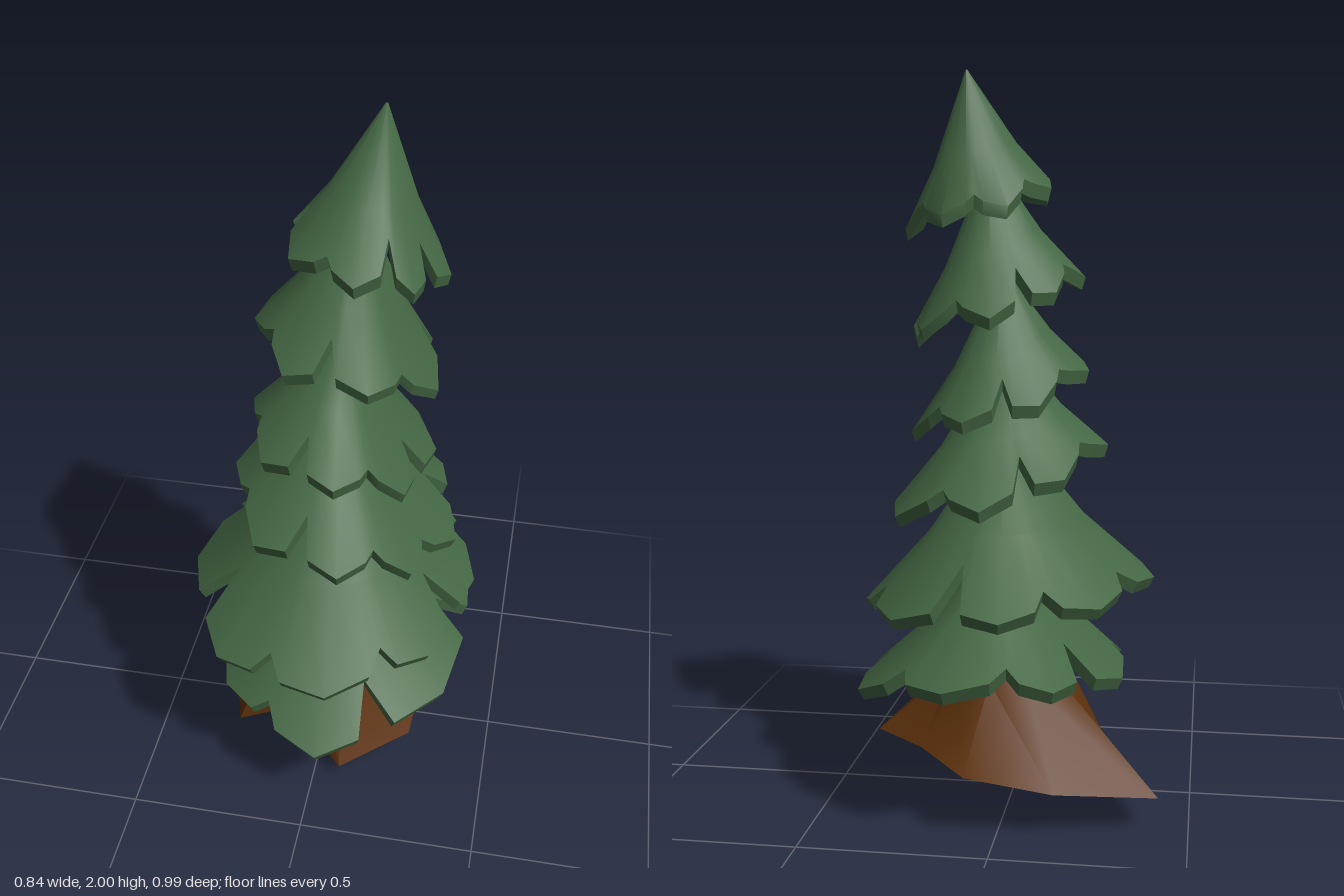
import * as THREE from 'three';
import { toCreasedNormals } from 'three/addons/utils/BufferGeometryUtils.js';

const needleGreen = new THREE.MeshStandardMaterial({ color: 0x446744 });
needleGreen.name = 'needleGreen';
const barkBrown = new THREE.MeshStandardMaterial({ color: 0x5e320c });
barkBrown.name = 'barkBrown';

// Joins closed rings of points, listed from the top down, into a skin
function loft(rings, crease) {
  const n = rings[0].length;
  const index = [];
  for (let r = 0; r < rings.length - 1; r++) {
    for (let i = 0; i < n; i++) {
      const j = (i + 1) % n;
      const a = r * n + i, b = r * n + j, c = a + n, d = b + n;
      index.push(a, b, c, c, b, d);
    }
  }
  const geometry = new THREE.BufferGeometry();
  geometry.setAttribute('position', new THREE.Float32BufferAttribute(rings.flat(2), 3));
  geometry.setIndex(index);
  return toCreasedNormals(geometry, crease);
}

function part(name, geometry, material) {
  const mesh = new THREE.Mesh(geometry, material);
  mesh.name = name;
  return mesh;
}

// Rim of pointed lobes: [angle in degrees, share of full radius]
function lobedRim(deep, shallow, shoulder) {
  const notches = [...deep.map((a) => [a, 0.7]), ...shallow.map((a) => [a, 0.87])]
    .sort((p, q) => p[0] - q[0]);
  const rim = [];
  notches.forEach(([angle, share], i) => {
    const next = i + 1 < notches.length ? notches[i + 1][0] : notches[0][0] + 360;
    const span = next - angle;
    rim.push([angle, share], [angle + span * 0.14, shoulder],
      [angle + span * 0.5, 1.03], [angle + span * 0.86, shoulder]);
  });
  return rim;
}

// One skirt of branches; y holds the rim heights at left (-x), right (+x), front and back
function branchTier({ centre: [cx, cz], radius: [rx, rz], y, apex, deep, shallow, shoulder }) {
  const [yLow, yHigh, yFront, yBack] = y;
  const rim = lobedRim(deep, shallow, shoulder);
  const at = (angle, t, drop) => {
    const c = Math.cos(angle * Math.PI / 180), s = Math.sin(angle * Math.PI / 180);
    const skew = 1 - 0.1 * s * c; // longer along one diagonal
    const edgeY = c * c * (c < 0 ? yLow : yHigh) + s * s * (s < 0 ? yBack : yFront);
    const sag = 0.08 * (apex[1] - edgeY) * Math.sin(Math.PI * Math.min(t, 1));
    return [
      apex[0] + (cx + rx * c * skew - apex[0]) * t,
      apex[1] + (edgeY - apex[1]) * t - sag - drop,
      apex[2] + (cz + rz * s * skew - apex[2]) * t,
    ];
  };
  const ring = (share, drop) => rim.map(([a, r]) => at(a, share(r), drop));
  return loft([
    ring(() => 0.012, 0),
    ring(() => 0.55, 0),
    ring((r) => r, 0),
    ring((r) => r - 0.04, 0.047),
    ring(() => 0.5, 0.055),
    ring(() => 0.3, 0.06),
  ], 0.55);
}

const tiers = [
  { centre: [0.05, -0.02], radius: [0.365, 0.465], y: [0.37, 0.34, 0.27, 0.44], shoulder: 0.97,
    apex: [0.02, 0.76, 0], deep: [-8, 65, 215], shallow: [120, 165, 255, 305] },
  { centre: [0.015, 0.02], radius: [0.39, 0.465], y: [0.62, 0.56, 0.55, 0.61], shoulder: 0.98,
    apex: [0.03, 1.06, 0.02], deep: [14, 148, 285], shallow: [56, 108, 200, 245, 330] },
  { centre: [0.055, 0.045], radius: [0.3, 0.37], y: [0.99, 0.8, 0.92, 0.87], shoulder: 0.94,
    apex: [0.03, 1.28, 0.04], deep: [-20, 105, 245], shallow: [25, 62, 150, 200, 292] },
  { centre: [0.045, 0.07], radius: [0.24, 0.29], y: [1.2, 1.03, 1.16, 1.09], shoulder: 0.94,
    apex: [0.04, 1.48, 0.04], deep: [12, 108, 260], shallow: [60, 155, 210, 310] },
  { centre: [0.055, 0.025], radius: [0.235, 0.25], y: [1.46, 1.29, 1.4, 1.36], shoulder: 0.94,
    apex: [0.07, 1.78, 0], deep: [-25, 98, 240], shallow: [40, 145, 195, 290] },
  { centre: [0.095, 0.02], radius: [0.2, 0.21], y: [1.7, 1.59, 1.67, 1.63], shoulder: 0.94,
    apex: [0.12, 2, -0.07], deep: [25, 65, 170], shallow: [115, 215, 265, 315] },
];

// Ragged, tilted foot of the trunk
const foot = [
  [0.36, 0.2, -0.15], [0.28, 0.14, 0.03], [0.27, 0.09, 0.17], [0.08, 0.055, 0.31],
  [-0.04, 0.05, 0.18], [-0.16, 0.045, 0.12], [-0.27, 0, 0.13], [-0.31, 0.05, 0],
  [-0.42, 0.09, -0.27], [-0.15, 0.12, -0.36], [0.08, 0.17, -0.4], [0.22, 0.19, -0.25],
];

// Trunk ring following the direction of each foot point
const trunkRing = (x, y, z, r) => foot.map((p) => {
  const a = Math.atan2(p[2], p[0]);
  return [x + r * Math.cos(a), y, z + r * Math.sin(a)];
});

export function createModel() {
  const tree = new THREE.Group();
  tree.name = 'firTree';

  // Trunk with flared foot
  tree.add(part('trunk', loft([
    trunkRing(0.06, 1.6, 0.01, 0.01),
    trunkRing(0.05, 1.35, 0.05, 0.055),
    trunkRing(0.03, 0.95, 0.02, 0.07),
    trunkRing(0.03, 0.7, 0.02, 0.12),
    trunkRing(0.01, 0.36, -0.02, 0.17),
    foot,
  ], 0.9), barkBrown));

  // Hollow underside of the foot
  tree.add(part('footUnderside', loft([
    foot,
    trunkRing(-0.01, 0.24, -0.04, 0.01),
  ], 0.7), needleGreen));

  // Skirts of branches
  const branches = new THREE.Group();
  branches.name = 'branches';
  tiers.forEach((tier, i) => branches.add(part(`branchTier${i + 1}`, branchTier(tier), needleGreen)));
  tree.add(branches);

  return tree;
}
